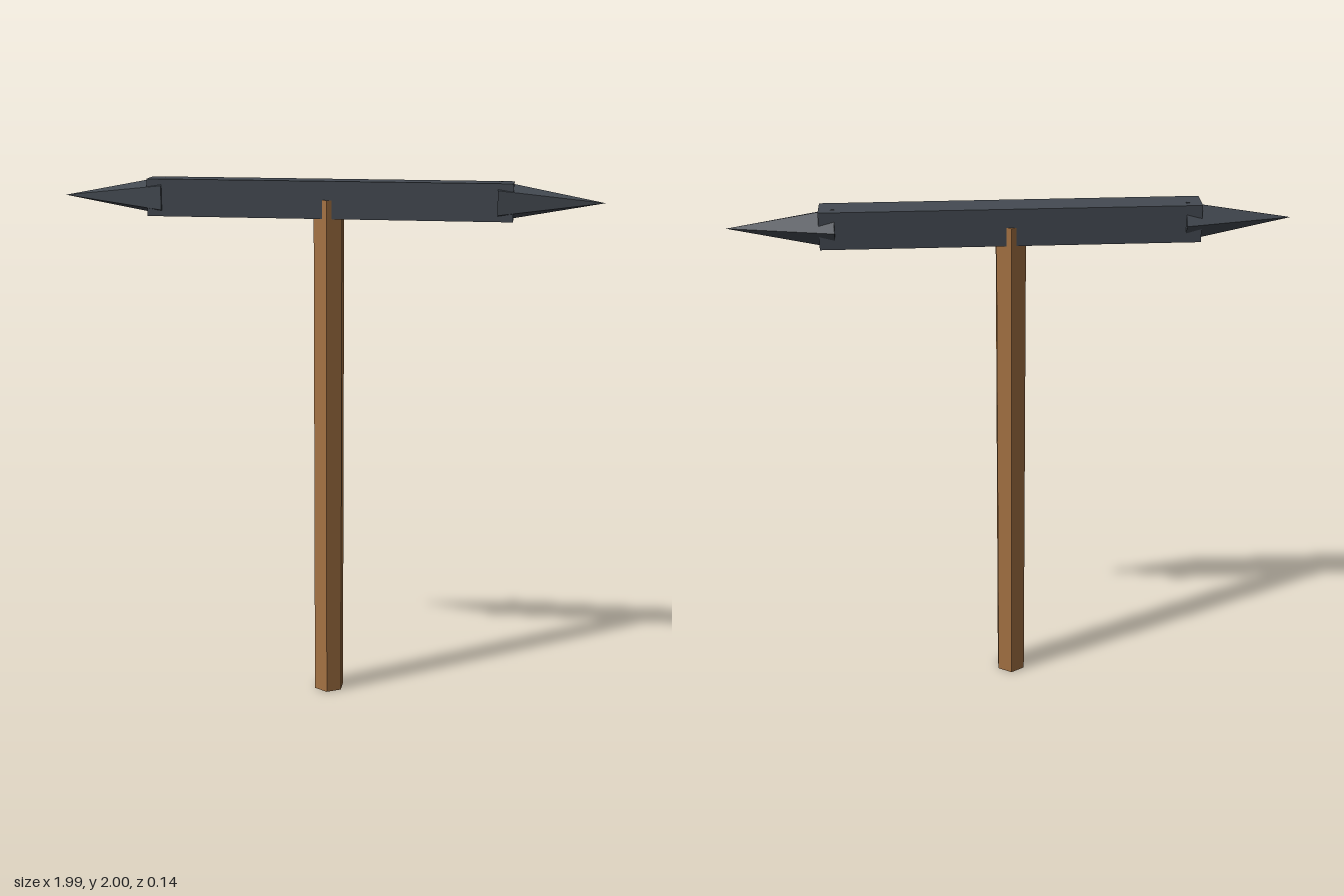
import * as THREE from 'three';

export function createModel() {
  const wood = new THREE.MeshStandardMaterial({ color: 0xa87545, flatShading: true });
  wood.name = 'wood';
  const iron = new THREE.MeshStandardMaterial({ color: 0x444a52, flatShading: true });
  iron.name = 'dark iron';

  const model = new THREE.Group();
  model.name = 'doublePointedPick';
  const axisZ = 0.007;   // shared centre line of handle and head
  const headY = 1.928;   // height of the head's centre

  function add(name, geometry, material, x, y) {
    const mesh = new THREE.Mesh(geometry, material);
    mesh.name = name;
    mesh.position.set(x, y, axisZ);
    model.add(mesh);
    return mesh;
  }

  // Six-sided handle, its top ending inside the head
  add('handle', new THREE.CylinderGeometry(0.06, 0.06, headY, 6), wood, 0, headY / 2);

  // Square-cut bar of the head
  add('headBar', new THREE.BoxGeometry(1.34, 0.136, 0.1), iron, 0, headY);

  // Five-sided spikes, overlapping the ends of the bar
  for (const side of [1, -1]) {
    const spike = new THREE.ConeGeometry(0.075, 0.38, 5, 1, false, Math.PI);
    spike.rotateZ(-side * Math.PI / 2);
    add(side > 0 ? 'leftSpike' : 'rightSpike', spike, iron, side * 0.805, headY);
  }

  return model;
}
